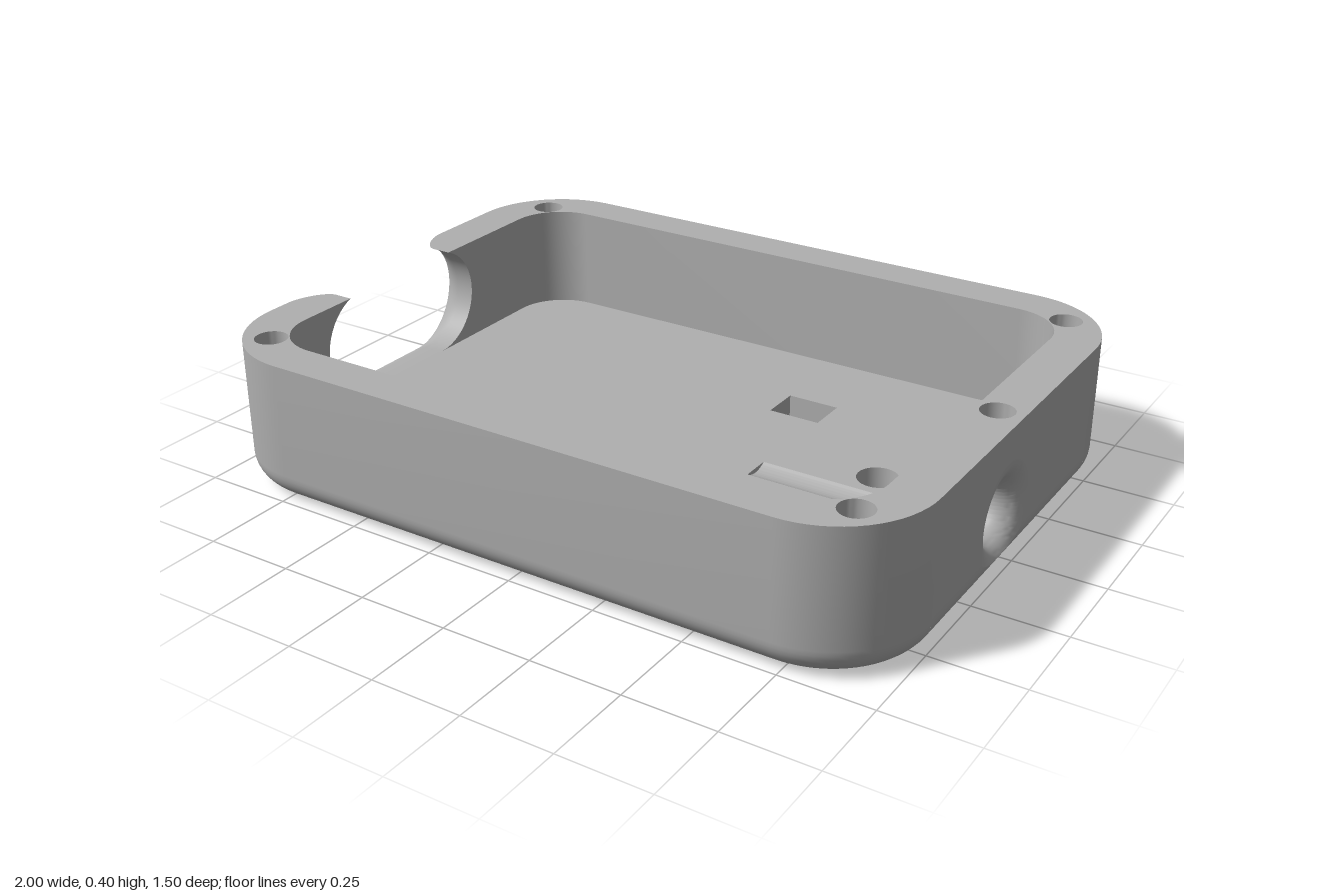
import * as THREE from 'three';
import { toCreasedNormals } from 'three/addons/utils/BufferGeometryUtils.js';

const H = 0.398, F = 0.098;            // rim height, floor height
const B = 0.08, FL = 0.07;             // bottom fillet, flare radius of the openings
const CX = 0.73, CZ = 0.48, R = 0.27;  // outer corner centres and radius
const IX = 0.725, IR = 0.15;           // cavity corner centres and radius
const IN = IX + IR;                    // inner face of the end walls
const SLOT = { z: 0.085, y: 0.253, half: 0.16, r: 0.155 };
const BORE = { z: 0.075, y: 0.16, r: 0.075 };
const V0 = -B * Math.PI / 2, V1 = H - B;
const lerp = THREE.MathUtils.lerp;
const range = (n, fn) => Array.from({ length: n + 1 }, (_, i) => fn(i / n));

// v runs up the outer skin: negative on the bottom fillet, then straight up the wall
const yOf = v => v < 0 ? B - B * Math.sin(-v / B) : v + B;
const vOf = y => y < B ? -B * Math.asin(Math.min(1, (B - y) / B)) : y - B;
const insetOf = v => v < 0 ? B * (1 - Math.cos(v / B)) : 0;

// surface through rows of points
function grid(rows) {
  const n = rows[0].length, index = [];
  for (let i = 0; i < rows.length - 1; i++)
    for (let j = 0; j < n - 1; j++) {
      const a = i * n + j, b = a + n;
      index.push(a, b, a + 1, b, b + 1, a + 1);
    }
  const g = new THREE.BufferGeometry();
  g.setAttribute('position', new THREE.Float32BufferAttribute(rows.flat(2), 3));
  g.setIndex(index);
  return toCreasedNormals(g, 0.6);
}

const shapeOf = (pts, holes = []) => {
  const s = new THREE.Shape(pts.map(p => new THREE.Vector2(...p)));
  s.holes = holes.map(h => new THREE.Path(h.map(p => new THREE.Vector2(...p))));
  return new THREE.ShapeGeometry(s);
};
const flat = (pts, holes, y) => shapeOf(pts, holes).rotateX(Math.PI / 2).translate(0, y, 0);
const panel = (pts, x) => shapeOf(pts).rotateY(-Math.PI / 2).translate(x, 0, 0);
const wall = (pts, y0, y1) => grid([y0, y1].map(y => pts.map(([x, z]) => [x, y, z])));

// quarter arc i of a rounded rectangle, in x and z
const corner = (i, cx, cz, r) => range(16, t => {
  const a = (i + t) * Math.PI / 2;
  return [(i === 0 || i === 3 ? cx : -cx) + r * Math.cos(a), (i < 2 ? cz : -cz) + r * Math.sin(a)];
});
const rounded = (cx, cz, r) => [0, 1, 2, 3].flatMap(i => corner(i, cx, cz, r));
const circle = (x, z, r) => range(32, t =>
  [x + r * Math.cos(t * 2 * Math.PI), z + r * Math.sin(t * 2 * Math.PI)]);

// slot outline grown by o, from its +z top end round to its -z top end, as z and y
function slotRing(u, o) {
  const r = SLOT.r + o, top = Math.asin((H - SLOT.y) / r), k = u * 3;
  if (k > 1 && k < 2) return [SLOT.z + lerp(SLOT.half, -SLOT.half, k - 1), SLOT.y - r];
  const a = lerp(top, -Math.PI / 2, k <= 1 ? k : 3 - k), s = k <= 1 ? 1 : -1;
  return [SLOT.z + s * (SLOT.half + r * Math.cos(a)), SLOT.y + r * Math.sin(a)];
}
function slotEdge(u) {
  const k = u * 3;
  if (k <= 1) return [CZ, lerp(V1, V0, k)];
  return k < 2 ? [lerp(CZ, -CZ, k - 1), V0] : [-CZ, lerp(V0, V1, k - 2)];
}
// bore outline and the end-face border, matched by direction
function boreEdge(u) {
  const i = Math.min(3, Math.floor(u * 4)), k = u * 4 - i;
  return [[CZ, lerp(V0, V1, k)], [lerp(CZ, -CZ, k), V1],
    [-CZ, lerp(V1, V0, k)], [lerp(-CZ, CZ, k), V0]][i];
}
function boreRing(u, o) {
  const [z, v] = boreEdge(u), a = Math.atan2(v - vOf(BORE.y), z - BORE.z);
  return [BORE.z + (BORE.r + o) * Math.cos(a), BORE.y + (BORE.r + o) * Math.sin(a)];
}

// flared opening and the end face around it
function flaredEnd(side, ring, edge, n) {
  const flareAt = (u, t) => {
    const [z, y] = ring(u, FL * (1 - Math.cos(t)));
    return [side * (1 - FL + FL * Math.sin(t)), y, z];
  };
  const us = range(n, u => u);
  const ends = us.map(u => {           // where the flare meets the outer skin
    let lo = 0, hi = Math.PI / 2;
    for (let i = 0; i < 40; i++) {
      const m = (lo + hi) / 2, [x, y] = flareAt(u, m);
      if (Math.abs(x) < 1 - insetOf(vOf(y))) lo = m; else hi = m;
    }
    return lo;
  });
  const inner = us.map(u => { const [z, y] = ring(u, 0); return [side * IN, y, z]; });
  const flare = grid([inner, ...range(10, k => us.map((u, i) => flareAt(u, ends[i] * k)))]);
  const face = grid(range(14, k => us.map((u, i) => {
    const [, y, z] = flareAt(u, ends[i]), [ez, ev] = edge(u), v = lerp(vOf(y), ev, k);
    return [side * (1 - insetOf(v)), yOf(v), lerp(z, ez, k)];
  })));
  return [flare, face];
}

export function createModel() {
  const group = new THREE.Group();
  const grey = new THREE.MeshStandardMaterial({ color: 0xb0b0b0, side: THREE.DoubleSide });
  grey.name = 'grey plastic';
  const add = (name, g) => {
    const m = new THREE.Mesh(g, grey);
    m.name = name;
    group.add(m);
  };

  // outer skin of the long sides and corners
  const levels = [V1, ...range(10, t => V0 * t)];
  [[0, 1, 'frontSide'], [2, 3, 'backSide']].forEach(([a, b, name]) => add(name, grid(levels.map(v =>
    [a, b].flatMap(i => corner(i, CX, CZ, R - insetOf(v))).map(([x, z]) => [x, yOf(v), z])))));

  // end walls with the cable bore and the open slot
  const [boreFlare, boreFace] = flaredEnd(1, boreRing, boreEdge, 128);
  add('cableBore', boreFlare);
  add('boreEndFace', boreFace);
  const [slotFlare, slotFace] = flaredEnd(-1, slotRing, slotEdge, 96);
  add('slotOpening', slotFlare);
  add('slotEndFace', slotFace);

  // cavity walls
  [[0, 1], [2, 3]].forEach(([a, b]) => add('cavityWall',
    wall([a, b].flatMap(i => corner(i, IX, CZ, IR)), F, H)));
  const g = Math.acos((BORE.y - F) / BORE.r);
  const boreArc = (a0, a1) => range(32, t => {
    const a = lerp(a0, a1, t);
    return [BORE.z + BORE.r * Math.cos(a), BORE.y + BORE.r * Math.sin(a)];
  });
  const down = -Math.PI / 2;
  add('boreInnerWall', panel([[-CZ, F], ...boreArc(down - g, down + g - 2 * Math.PI),
    [CZ, F], [CZ, H], [-CZ, H]], IN));
  [[0, CZ], [2, -CZ]].forEach(([k, z]) => {
    const arc = range(20, t => slotRing((k + t) / 3, 0));
    if (k) arc.reverse();
    add('slotInnerWall', panel([[z, H], [z, F], ...arc.reverse()], -IN));
  });

  // floor, underside and their through holes
  const square = [[0.165, -0.365], [0.315, -0.365], [0.315, -0.25], [0.165, -0.25]];
  const rounds = [circle(0.6, -0.05, 0.057), circle(0.6, 0.2, 0.057)];
  const gw = BORE.r * Math.sin(g), gx = 0.305;
  const groove = [[gx, BORE.z - gw], [IN - 0.0005, BORE.z - gw],
    [IN - 0.0005, BORE.z + gw], [gx, BORE.z + gw]];
  const open = rounds.map(h => h.slice(0, -1));
  add('floor', flat(rounded(IX, CZ, IR), [square, ...open, groove], F));
  add('underside', flat(rounded(CX, CZ, R - B), [square, ...open], 0));
  [[...square, square[0]], ...rounds].forEach(h => add('floorHoleWall', wall(h, 0, F)));

  // cable groove in the floor
  const arc = boreArc(down - g, down + g);
  add('cableGroove', grid([gx, IN].map(x => arc.map(([z, y]) => [x, y, z]))));
  add('grooveEnd', panel(arc, gx));

  // top rim, broken by the slot
  const lip = u => [[-IN, slotRing(u, 0)[0]], ...range(10, k => {
    const t = k * Math.PI / 2;
    return [-(1 - FL + FL * Math.sin(t)), slotRing(u, FL * (1 - Math.cos(t)))[0]];
  })];
  const screws = [[0.93, 0], [0.865, 0.62], [0.865, -0.62], [-0.865, 0.62], [-0.865, -0.62]]
    .map(([x, z]) => circle(x, z, 0.045));
  const rim = [
    ...[2, 3, 0, 1].flatMap(i => corner(i, CX, CZ, R)), ...lip(0).reverse(),
    ...[1, 0, 3, 2].flatMap(i => corner(i, IX, CZ, IR).reverse()), ...lip(1)];
  add('topRim', flat(rim, screws.map(h => h.slice(0, -1)), H));

  // blind screw holes
  screws.forEach(h => {
    add('screwHoleWall', wall(h, H - 0.12, H));
    add('screwHoleBottom', flat(h.slice(0, -1), [], H - 0.12));
  });
  return group;
}
